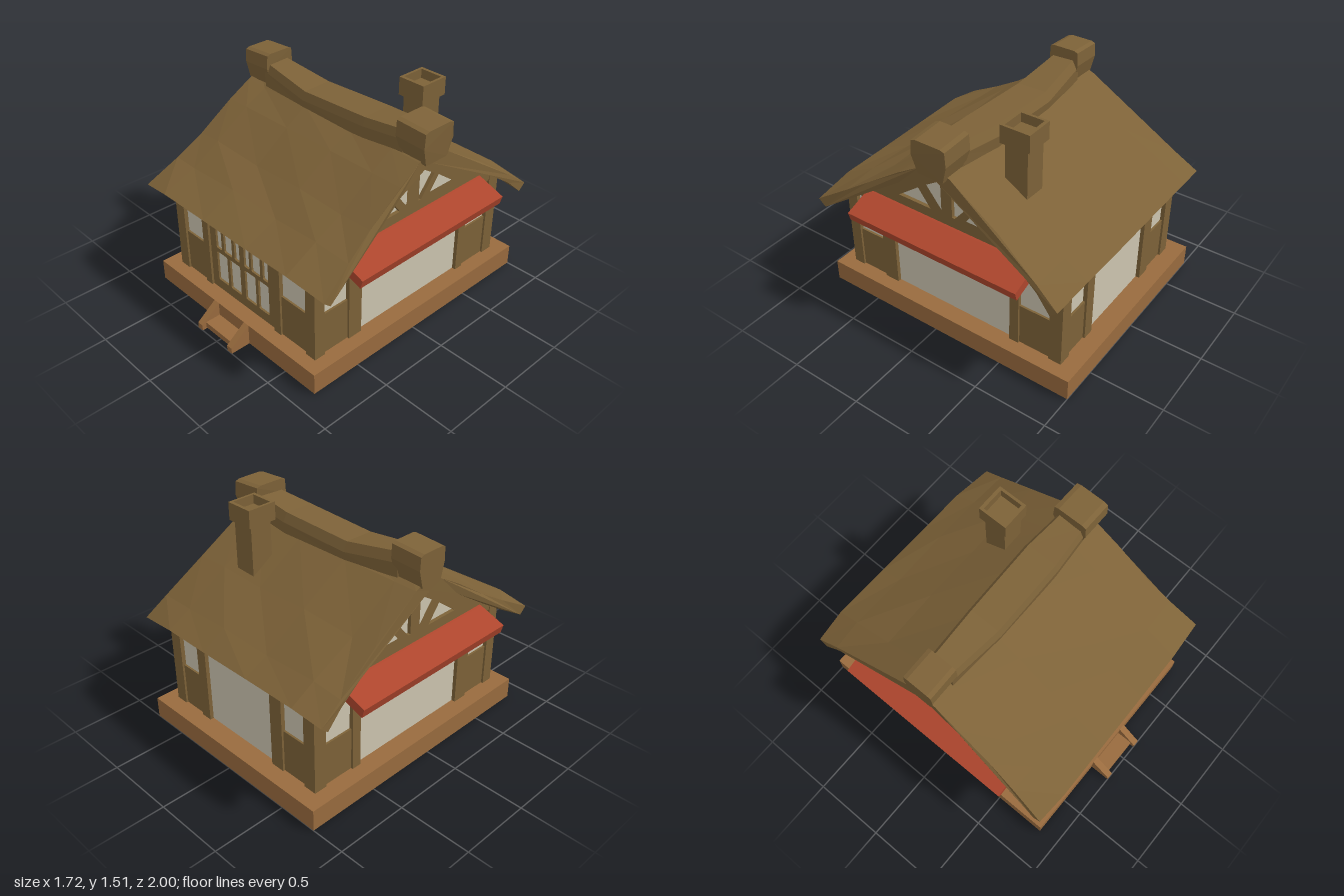
import * as THREE from 'three';

const material = (name, color) => Object.assign(new THREE.MeshStandardMaterial({ color }), { name });

export function createModel() {
  const model = new THREE.Group();
  model.name = 'cottage';
  const timber = material('timber and thatch brown', 0x7d6238);
  const plank = material('platform orange brown', 0x996b3e);
  const plaster = material('plaster cream', 0xcdc5b0);
  const red = material('awning red', 0xae462d);

  const add = (parent, name, geometry, mat) => {
    const mesh = new THREE.Mesh(geometry, mat);
    mesh.name = name;
    parent.add(mesh);
    return mesh;
  };
  // box given by its limits on each axis
  const box = (parent, name, mat, x0, x1, y0, y1, z0, z1) => {
    const mesh = add(parent, name, new THREE.BoxGeometry(x1 - x0, y1 - y0, z1 - z0), mat);
    mesh.position.set((x0 + x1) / 2, (y0 + y1) / 2, (z0 + z1) / 2);
    return mesh;
  };
  const shapeOf = pts => new THREE.Shape(pts.map(p => new THREE.Vector2(p[0], p[1])));
  const extrude = (shape, depth) => new THREE.ExtrudeGeometry(shape, { depth, bevelEnabled: false });
  // plate outlined in (z, y), starting at x0 and growing towards +x
  const sidePlate = (pts, x0, depth, holes = []) => {
    const shape = shapeOf(pts.map(([z, y]) => [-z, y]));
    shape.holes = holes.map(h => shapeOf(h.map(([z, y]) => [-z, y])));
    return extrude(shape, depth).rotateY(Math.PI / 2).translate(x0, 0, 0);
  };
  // faceted skin through rings of [x, y, z] points, with closed ends
  const loft = rings => {
    const n = rings[0].length, last = (rings.length - 1) * n, index = [];
    for (let i = 0; i < rings.length - 1; i++) {
      for (let j = 0; j < n; j++) {
        const a = i * n + j, d = i * n + (j + 1) % n;
        index.push(a, d, d + n, a, d + n, a + n);
      }
    }
    const outline = rings[0].map(p => new THREE.Vector2(-p[2], p[1]));
    for (const [a, b, c] of THREE.ShapeUtils.triangulateShape(outline, [])) {
      index.push(a, c, b, last + a, last + b, last + c);
    }
    const g = new THREE.BufferGeometry();
    g.setAttribute('position', new THREE.Float32BufferAttribute(rings.flat(2), 3));
    g.setIndex(index);
    const flat = g.toNonIndexed();
    flat.computeVertexNormals();
    return flat;
  };

  // platform and front steps
  box(model, 'platform', plank, -0.77, 0.76, 0, 0.145, -1, 0.86);
  for (const x of [-0.19, 0.11]) {
    add(model, 'stepStringer', sidePlate([[0.85, 0], [1, 0], [1, 0.04], [0.86, 0.145], [0.85, 0.145]], x, 0.045), plank);
  }
  box(model, 'stepTread', plank, -0.145, 0.11, 0.01, 0.05, 0.85, 0.97);

  // wall core
  box(model, 'wallCore', timber, -0.635, 0.635, 0.145, 0.74, -0.855, 0.735);

  // a wall facing local +z; spans run along local x
  const wall = (name, angle, face, posts, windows, panel, flip = 1) => {
    const g = new THREE.Group();
    g.name = name;
    g.rotation.y = angle;
    model.add(g);
    const span = (part, mat, [a, b], y0, y1, z0, z1) =>
      box(g, part, mat, Math.min(a * flip, b * flip), Math.max(a * flip, b * flip), y0, y1, face + z0, face + z1);
    posts.forEach(p => span('post', timber, p, 0.145, 0.765, -0.08, 0));
    for (const w of windows) {
      span('windowPane', plaster, w, 0.44, 0.72, -0.035, -0.028);
      span('lowerBoard', timber, w, 0.145, 0.44, -0.035, -0.014);
      span('windowLintel', timber, w, 0.72, 0.755, -0.035, -0.014);
    }
    if (panel) span('plasterPanel', plaster, panel, 0.145, 0.735, -0.035, -0.026);
    return g;
  };
  const sidePosts = [[-0.77, -0.69], [-0.49, -0.385], [0.515, 0.58], [0.8, 0.89]];
  const sideWindows = [[-0.69, -0.49], [0.58, 0.8]];
  wall('leftWall', Math.PI / 2, 0.67, sidePosts, sideWindows, [-0.385, 0.515]);
  wall('rightWall', -Math.PI / 2, 0.67, sidePosts, sideWindows, [-0.385, 0.515], -1);
  wall('backWall', Math.PI, 0.89, [[-0.67, -0.58], [-0.4, -0.32], [0.29, 0.39], [0.58, 0.67]],
    [[-0.58, -0.4], [0.39, 0.58]], [-0.32, 0.29]);
  const front = wall('frontWall', 0, 0.77, [[-0.67, -0.585], [-0.39, -0.33], [0.3, 0.362], [0.59, 0.67]],
    [[-0.585, -0.39], [0.362, 0.59]], null);

  // sliding door lattice with chamfered openings
  const pane = (x0, x1, y0, y1, c = 0.008) => shapeOf([[x0 + c, y0], [x1 - c, y0], [x1, y0 + c], [x1, y1 - c],
    [x1 - c, y1], [x0 + c, y1], [x0, y1 - c], [x0, y0 + c]]);
  const lattice = shapeOf([[-0.33, 0.145], [0.3, 0.145], [0.3, 0.755], [-0.33, 0.755]]);
  for (const [a, b] of [[-0.27, -0.165], [-0.14, -0.035], [0.01, 0.115], [0.14, 0.24]]) lattice.holes.push(pane(a, b, 0.215, 0.44));
  for (const [a, b] of [[-0.27, -0.215], [-0.19, -0.11], [-0.085, -0.035], [0.01, 0.06], [0.08, 0.165], [0.19, 0.24]]) {
    lattice.holes.push(pane(a, b, 0.47, 0.735));
  }
  box(front, 'doorPaper', plaster, -0.28, 0.25, 0.2, 0.74, 0.733, 0.739);
  add(front, 'doorLattice', extrude(lattice, 0.016), timber).position.z = 0.738;

  // roof: [z, y, sway in x, share of the eave droop], from the back eave to the front eave
  const top = [[-0.99, 0.77, 1, 1], [-0.82, 0.86, 0.7, 0.5], [-0.52, 1.035, 0.2, 0], [-0.18, 1.25, 0, 0], [-0.06, 1.3, 0, 0],
    [0.04, 1.25, 0, 0], [0.2, 1.155, 0.1, 0], [0.45, 0.985, 0.2, 0], [0.65, 0.88, 0.5, 0.4], [0.89, 0.77, 1, 1]];
  const under = [[0.84, 0.725, 1, 1], [0.65, 0.81, 0.5, 0.4], [0.45, 0.92, 0.2, 0], [0.2, 1.085, 0.1, 0], [-0.06, 1.21, 0, 0],
    [-0.52, 0.97, 0.2, 0], [-0.82, 0.8, 0.7, 0.5], [-0.94, 0.725, 1, 1]];
  const profile = [...top, ...under];
  // stations: [x, sway at eaves, eave droop, eave pull-in, ripple]
  const stations = [[-0.765, -0.055, -0.025, 0.015, 0], [-0.6, 0, 0.005, 0, 0.012], [-0.2, 0, 0, 0.005, -0.008],
    [0.2, 0, -0.008, 0.01, 0.01], [0.55, 0, -0.01, 0.015, -0.006], [0.77, 0.07, -0.045, 0.035, 0]];
  add(model, 'thatchRoof', loft(stations.map(([x, sway, droop, pull, ripple]) => profile.map(([z, y, s, e], j) => [
    x + sway * s,
    y + droop * e + (j < top.length ? ripple * Math.sin(j * 2.1) : 0),
    z - Math.sign(z) * pull * e,
  ]))), timber);

  // gables: solid infill following the roof underside, with a pierced timber truss
  const gable = [[0.74, 0.73], [0.72, 0.785], [0.65, 0.815], [0.45, 0.925], [0.2, 1.09], [-0.06, 1.215], [-0.52, 0.975],
    [-0.8, 0.815], [-0.86, 0.78], [-0.86, 0.73]];
  add(model, 'gableCore', sidePlate(gable, -0.635, 1.27), timber);
  const openings = [
    [[0.32, 0.88], [0.07, 0.88], [0.16, 1.0]],
    [[0.12, 1.03], [-0.015, 1.115], [-0.015, 0.885], [0.005, 0.885]],
    [[-0.23, 1.025], [-0.095, 1.11], [-0.095, 0.885], [-0.115, 0.885]],
    [[-0.435, 0.88], [-0.18, 0.88], [-0.27, 1.0]],
  ];
  for (const s of [1, -1]) {
    add(model, 'gableTruss', sidePlate(gable, s > 0 ? 0.635 : -0.665, 0.03, openings), timber);
    openings.forEach(o => add(model, 'gablePlaster', sidePlate(o, s > 0 ? 0.635 : -0.641, 0.006), plaster));
    // sloping side awning
    const slope = [[0.64, 0.82], [0.68, 0.81], [0.862, 0.742], [0.845, 0.682], [0.64, 0.755]].map(([x, y]) => [x * s, y]);
    add(model, 'sideAwning', extrude(shapeOf(slope), 1.27), red).position.z = -0.69;
  }

  // sagging ridge roll: [x, top y, back z, front z]
  const ridge = [[-0.6, 1.42, -0.16, 0.035], [-0.2, 1.36, -0.195, 0.06], [0.33, 1.38, -0.2, 0.06], [0.63, 1.405, -0.17, 0.04]];
  add(model, 'ridgeRoll', loft(ridge.map(([x, y, b, f]) =>
    [[x, 1.22, b + 0.01], [x, y - 0.06, b], [x, y, b + 0.03], [x, y - 0.005, f - 0.02], [x, y - 0.06, f], [x, 1.22, f - 0.01]])), timber);

  // flared ridge end blocks: [x at foot, x at head, foot y, head y], half width
  const block = (ends, w) => add(model, 'ridgeEnd', loft(ends.map(([x0, x1, y0, y1]) => [
    [x0, y0, -0.065 - w * 0.72], [x1, y0 + 0.12, -0.065 - w], [x1, y1 - 0.01, -0.065 - w * 0.95], [x1, y1, -0.065 - w * 0.7],
    [x1, y1, -0.065 + w * 0.7], [x1, y1 - 0.01, -0.065 + w * 0.95], [x1, y0 + 0.12, -0.065 + w], [x0, y0, -0.065 + w * 0.72],
  ])), timber);
  block([[-0.78, -0.78, 1.255, 1.472], [-0.57, -0.563, 1.265, 1.485]], 0.108);
  block([[0.61, 0.595, 1.245, 1.475], [0.805, 0.815, 1.235, 1.462]], 0.125);

  // chimney with hollow cap
  box(model, 'chimneyStack', timber, 0.3, 0.455, 0.95, 1.45, -0.485, -0.33);
  const rim = shapeOf([[0.28, 0.305], [0.475, 0.305], [0.475, 0.51], [0.28, 0.51]]);
  rim.holes.push(shapeOf([[0.298, 0.328], [0.457, 0.328], [0.457, 0.487], [0.298, 0.487]]));
  add(model, 'chimneyCap', extrude(rim, 0.12).rotateX(-Math.PI / 2), timber).position.y = 1.39;

  return model;
}
